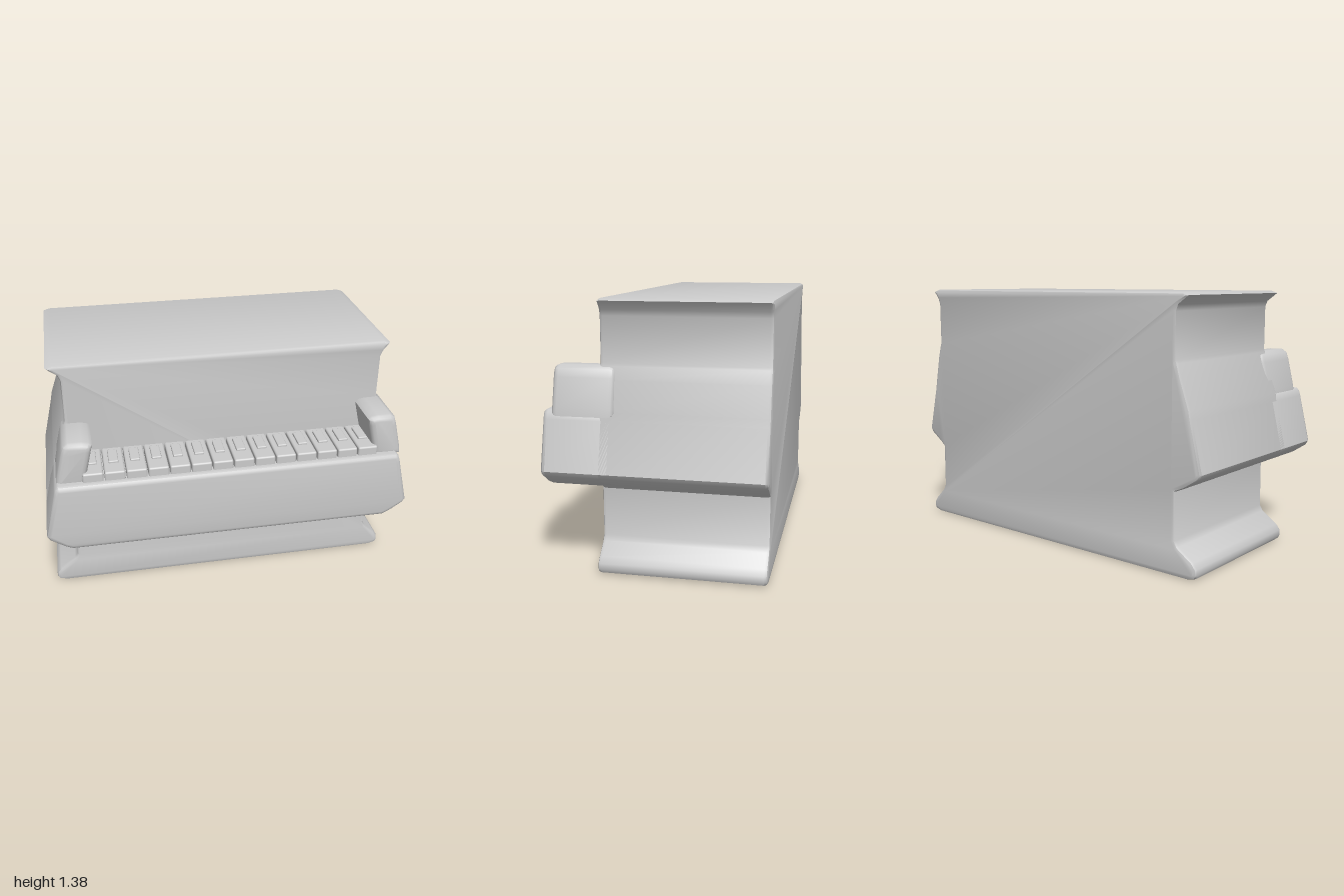
import * as THREE from 'three';
import { toCreasedNormals } from 'three/addons/utils/BufferGeometryUtils.js';
import { RoundedBoxGeometry } from 'three/addons/geometries/RoundedBoxGeometry.js';

const grey = new THREE.MeshStandardMaterial({ color: 0xcccccc });
const CENTER = 0.012; // the narrow case sits slightly off the middle

// Extrude a front outline from zBack to zFront with bevelled ends.
function slab(name, outline, zBack, zFront, bevel, segments = 2) {
  const shape = new THREE.Shape(outline.map(([x, y]) => new THREE.Vector2(x, y)));
  const geo = new THREE.ExtrudeGeometry(shape, {
    depth: zFront - zBack - 2 * bevel, steps: 1,
    bevelEnabled: true, bevelThickness: bevel, bevelSize: bevel,
    bevelOffset: -bevel, bevelSegments: segments,
  });
  geo.translate(0, 0, zBack + bevel);
  const mesh = new THREE.Mesh(toCreasedNormals(geo, 0.75), grey);
  mesh.name = name;
  return mesh;
}

// Closed outline from a right-hand profile; off shifts a point sideways.
function mirrored(profile) {
  const right = profile.map(([x, y, off = 0]) => [x + off, y]);
  const left = profile.map(([x, y, off = 0]) => [-x + off, y]).reverse();
  return [...right, ...left];
}

export function createModel() {
  const model = new THREE.Group();
  model.name = 'uprightPiano';

  // Case: flared foot, waist, wide keyboard section, upper panel, flared lid
  const c = CENTER;
  model.add(slab('case', mirrored([
    [0.93, 0], [0.975, 0.012], [0.985, 0.03], [0.983, 0.06], [0.96, 0.09],
    [0.885, 0.15, c], [0.868, 0.18, c], [0.866, 0.425, c],
    [0.91, 0.45], [0.985, 0.5], [1, 0.525], [0.94, 0.78], [0.932, 0.825],
    [0.89, 0.98, c], [0.872, 1.045, c], [0.866, 1.06, c],
    [0.866, 1.29, c], [0.878, 1.32, c], [0.925, 1.365], [0.89, 1.377],
  ]), -0.57, 0.285, 0.018));

  // Keyboard shelf projecting from the case
  model.add(slab('keyboardShelf', mirrored([
    [0.87, 0.432], [0.91, 0.45], [0.985, 0.5], [1, 0.525],
    [0.94, 0.78], [0.93, 0.812], [0.915, 0.825],
  ]), 0.2, 0.57, 0.025, 3));

  // Leaning cheek blocks at both ends of the keyboard
  for (const side of [-1, 1]) {
    const pts = [
      [0.79, 0.8], [0.94, 0.8], [0.936, 0.84], [0.9, 0.99], [0.887, 1.03],
      [0.86, 1.047], [0.79, 1.046], [0.755, 1.04], [0.738, 1.025], [0.745, 0.99],
    ].map(([x, y]) => [x * side + 0.015, y]);
    if (side < 0) pts.reverse();
    model.add(slab(side < 0 ? 'rightCheek' : 'leftCheek', pts, 0.2, 0.52, 0.03, 3));
  }

  // Row of keys, each with a small raised pad
  const keys = new THREE.Group();
  keys.name = 'keys';
  const keyGeo = new RoundedBoxGeometry(0.108, 0.07, 0.28, 2, 0.01);
  const padGeo = new RoundedBoxGeometry(0.052, 0.04, 0.125, 2, 0.006);
  const pitch = 0.1145;
  for (let i = 0; i < 14; i++) {
    const x = CENTER + (i - 6.5) * pitch;
    const key = new THREE.Mesh(keyGeo, grey);
    key.name = 'key';
    key.position.set(x, 0.838, 0.393);
    const pad = new THREE.Mesh(padGeo, grey);
    pad.name = 'keyPad';
    pad.position.set(x, 0.865, 0.38);
    keys.add(key, pad);
  }
  model.add(keys);

  return model;
}
